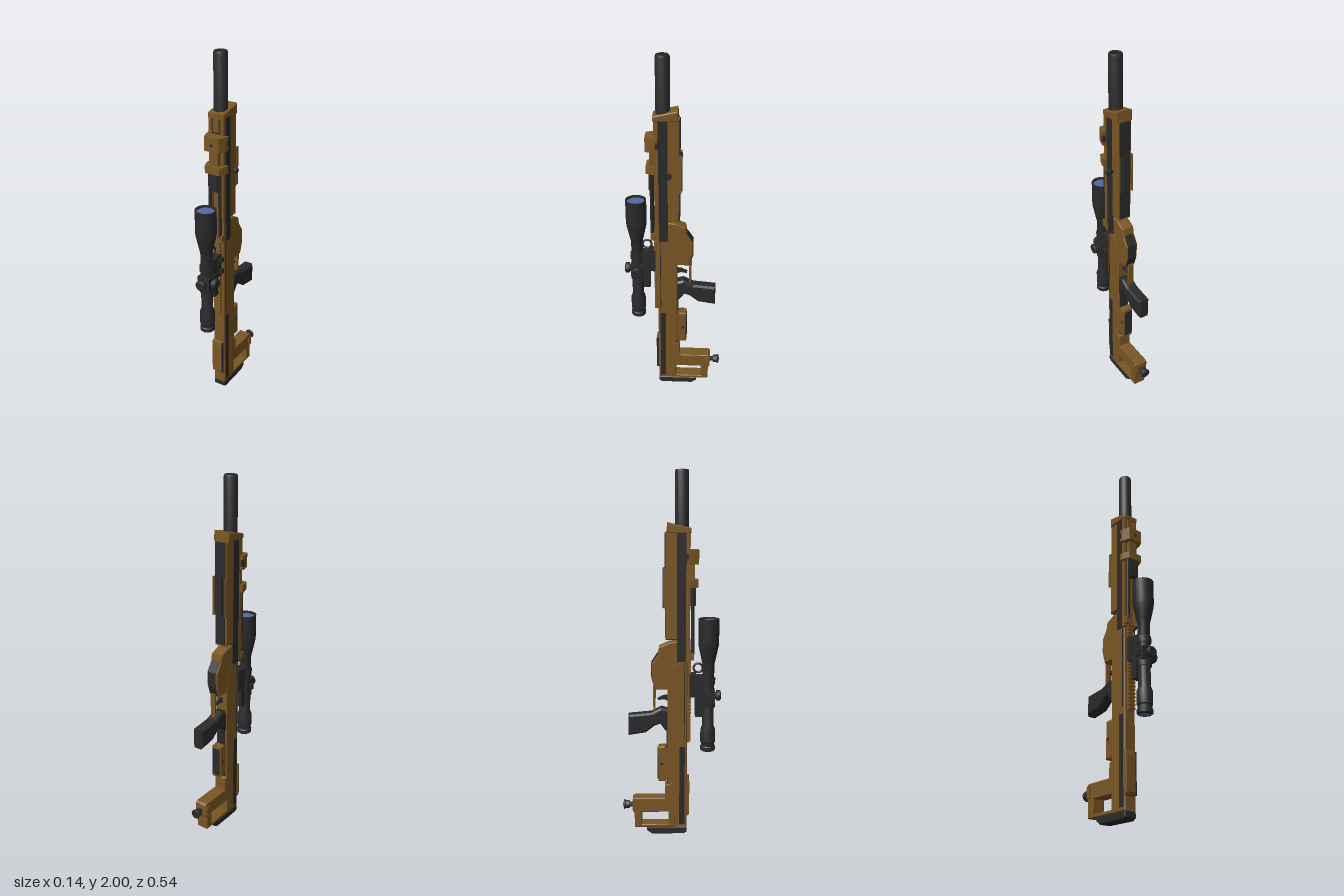
import * as THREE from 'three';
import { toCreasedNormals } from 'three/addons/utils/BufferGeometryUtils.js';

export function createModel() {
  const model = new THREE.Group();
  model.name = 'rifle';
  const root = new THREE.Group();
  root.name = 'rifleBody';
  root.position.x = -0.01;
  model.add(root);

  const mat = (name, color) => {
    const m = new THREE.MeshStandardMaterial({ color });
    m.name = name;
    return m;
  };
  const tan = mat('bronze tan', 0x7a5624);
  const dark = mat('gunmetal black', 0x2a2a2a);
  const glass = mat('lens blue', 0x5568a5);

  const add = (name, geo, material) => {
    const m = new THREE.Mesh(geo, material);
    m.name = name;
    root.add(m);
    return m;
  };
  // box given by its limits: centre x, width, then y and z ranges
  const box = (name, material, x, w, y0, y1, z0, z1) => {
    const m = add(name, new THREE.BoxGeometry(w, y1 - y0, z1 - z0), material);
    m.position.set(x, (y0 + y1) / 2, (z0 + z1) / 2);
    return m;
  };
  const shapeOf = pts => new THREE.Shape(pts.map(p => new THREE.Vector2(...p)));
  // side profile of [z, y] points, extruded across x with a small bevel
  const side = (name, material, pts, w, hole, x = 0, bevel = 0.005) => {
    const s = shapeOf(pts);
    if (hole) s.holes.push(new THREE.Path(hole.map(p => new THREE.Vector2(...p))));
    const g = new THREE.ExtrudeGeometry(s, {
      depth: w - 2 * bevel, bevelEnabled: bevel > 0, bevelSize: bevel,
      bevelThickness: bevel, bevelOffset: -bevel, bevelSegments: 1,
    });
    g.translate(0, 0, -(w - 2 * bevel) / 2).rotateY(-Math.PI / 2);
    return add(name, g, material).position.setX(x);
  };
  // plan profile of [x, z] points, extruded up from y0 to y1
  const plan = (name, material, pts, y0, y1) => {
    const g = new THREE.ExtrudeGeometry(shapeOf(pts.map(([x, z]) => [x, -z])), { depth: y1 - y0, bevelEnabled: false });
    add(name, g.rotateX(-Math.PI / 2).translate(0, y0, 0), material);
  };
  // turned part from [radius, height] points listed upward
  const turned = (name, material, pts, x, y, z, rx = 0, rz = 0, n = 16) => {
    const g = new THREE.LatheGeometry(pts.map(p => new THREE.Vector2(...p)), n);
    const m = add(name, toCreasedNormals(g, 0.6), material);
    m.position.set(x, y, z);
    m.rotation.set(rx, 0, rz);
    return m;
  };

  // suppressor with an open bore
  turned('suppressor', dark, [[0, 1.6], [0.036, 1.6], [0.036, 1.99], [0.032, 2],
    [0.02, 2], [0.018, 1.9], [0, 1.9]], 0, 0, 0.055);

  // handguard: dark core, tan back shell, front rails and slanted end cap
  box('handguardCore', dark, 0, 0.08, 1.0, 1.69, 0.03, 0.085);
  side('handguardShell', tan, [[0.035, 1.12], [0.035, 1.69], [-0.03, 1.69], [-0.03, 1.12]], 0.076);
  box('handguardBackPanel', dark, 0, 0.062, 1.13, 1.68, -0.034, -0.028);
  box('handguardRearStrip', dark, 0, 0.03, 1.29, 1.5, -0.045, -0.032);
  for (const s of [-1, 1]) {
    box('handguardRail', tan, s * 0.034, 0.018, 1.0, 1.69, 0.078, 0.1);
    box('sideRail', tan, s * 0.038, 0.008, 1.29, 1.5, -0.042, -0.025);
  }
  side('handguardCap', tan, [[0.105, 1.68], [0.105, 1.705], [0.09, 1.71], [-0.022, 1.735], [-0.025, 1.68]], 0.094);
  box('gasPlate', tan, 0, 0.034, 1.61, 1.68, 0.08, 0.102);
  turned('handguardKnob', dark, [[0, 0], [0.008, 0], [0.008, 0.02], [0.013, 0.035], [0.013, 0.055], [0, 0.055]],
    0.022, 1.395, 0.022, 0, -Math.PI / 2, 10);

  // folded bipod clamped to the front of the handguard
  const clamp = (name, y0, y1, z1) => plan(name, tan, [[-0.06, 0.08], [0.06, 0.08], [0.058, 0.1],
    [0.042, z1], [-0.042, z1], [-0.058, 0.1]].reverse(), y0, y1);
  clamp('bipodClamp', 1.52, 1.595, 0.145);
  clamp('bipodCollar', 1.4, 1.44, 0.142);
  box('bipodBridge', tan, 0, 0.05, 1.44, 1.53, 0.08, 0.125);
  box('bipodHinge', dark, 0, 0.045, 1.3, 1.4, 0.08, 0.13);
  turned('bipodBolt', dark, [[0, 0], [0.008, 0], [0.008, 0.004], [0, 0.004]], 0, 1.555, 0.144, Math.PI / 2, 0, 8);
  for (const s of [-1, 1]) {
    turned('bipodLeg', dark, [[0, 1.04], [0.009, 1.04], [0.009, 1.41], [0, 1.41]], s * 0.03, 0, 0.115, 0, 0, 8);
    box('bipodFoot', tan, s * 0.036, 0.02, 1.01, 1.05, 0.095, 0.122);
    box('bipodPivot', dark, s * 0.056, 0.014, 1.54, 1.575, 0.075, 0.09);
  }

  // receiver and the spine of the stock
  side('receiver', tan, [[0.087, 0.04], [0.087, 1.0], [0.06, 1.01], [0.035, 1.01], [-0.02, 0.95],
    [-0.022, 0.31], [-0.012, 0.28], [-0.012, 0.04]], 0.07);
  side('magazineHousing', tan, [[0.035, 0.84], [0.035, 1.11], [-0.01, 1.105], [-0.065, 1.08], [-0.072, 1.04],
    [-0.105, 0.99], [-0.105, 0.91], [-0.085, 0.845], [-0.02, 0.845]], 0.068);
  side('magazineSpine', dark, [[-0.06, 1.042], [-0.075, 1.042], [-0.108, 0.992], [-0.108, 0.908], [-0.088, 0.85],
    [-0.07, 0.85], [-0.09, 0.91], [-0.09, 0.99]], 0.05, null, 0, 0);
  for (const s of [-1, 1]) {
    box('stockInlay', dark, s * 0.035, 0.006, 0.06, 0.52, 0.045, 0.075);
    box('receiverSeam', dark, s * 0.035, 0.004, 0.56, 1.0, 0.07, 0.074);
  }
  box('receiverBackStrip', dark, 0, 0.05, 0.3, 0.72, -0.025, -0.018);
  box('chargingBlock', dark, 0.036, 0.014, 1.0, 1.1, 0.045, 0.07);

  // notched top rail
  box('railBase', tan, 0, 0.036, 0.54, 1.3, 0.085, 0.098);
  for (let i = 0; i < 24; i++) {
    const y = 0.545 + i * 0.02;
    box('railTooth', tan, 0, 0.042, y, y + 0.011, 0.095, 0.107);
  }

  // pistol grip, trigger and guard
  side('grip', dark, [[-0.015, 0.6], [-0.015, 0.73], [-0.055, 0.74], [-0.11, 0.712], [-0.235, 0.7],
    [-0.235, 0.585], [-0.14, 0.6], [-0.09, 0.64], [-0.06, 0.65], [-0.035, 0.615]], 0.064, null, 0, 0.01);
  side('triggerGuard', tan, [[-0.084, 0.86], [-0.1, 0.86], [-0.098, 0.72], [-0.086, 0.72]], 0.03, null, 0, 0);
  side('trigger', dark, [[-0.015, 0.81], [-0.045, 0.805], [-0.075, 0.79], [-0.072, 0.78], [-0.04, 0.785],
    [-0.015, 0.775]], 0.014, null, 0, 0);

  // rear block, skeleton stock, adjusting knob and butt pad
  side('rearBlock', tan, [[-0.015, 0.34], [-0.015, 0.5], [-0.035, 0.52], [-0.072, 0.515], [-0.072, 0.315], [-0.035, 0.315]], 0.06);
  box('rearBlockPanel', dark, 0, 0.046, 0.33, 0.5, -0.076, -0.07);
  for (const s of [-1, 1]) box('rearBlockPin', dark, s * 0.03, 0.004, 0.41, 0.425, -0.06, -0.045);
  side('skeletonStock', tan, [[0.02, 0.04], [0.02, 0.31], [-0.02, 0.3], [-0.036, 0.29], [-0.036, 0.215], [-0.205, 0.215],
    [-0.217, 0.205], [-0.217, 0.14], [-0.207, 0.125], [-0.205, 0.04]], 0.072,
  [[-0.016, 0.058], [-0.164, 0.058], [-0.164, 0.133], [-0.016, 0.133]], 0, 0.003);
  for (const s of [-1, 1]) box('stockBoss', tan, s * 0.036, 0.012, 0.14, 0.195, -0.21, -0.185);
  turned('adjustKnob', dark, [[0, 0], [0.013, 0], [0.013, 0.02], [0.023, 0.024], [0.023, 0.046],
    [0.028, 0.049], [0.026, 0.054], [0, 0.06]], 0, 0.165, -0.213, -Math.PI / 2, 0, 12);
  side('buttPad', dark, [[0.087, 0.012], [0.087, 0.042], [-0.137, 0.042], [-0.137, 0.02], [-0.11, 0], [0.07, 0]], 0.072);

  // raised cheek rest on the front of the stock
  box('cheekRestMount', dark, 0, 0.05, 0.12, 0.33, 0.08, 0.094);
  side('cheekRest', tan, [[0.085, 0.11], [0.085, 0.335], [0.097, 0.33], [0.101, 0.31], [0.101, 0.13], [0.097, 0.115]], 0.062, null, -0.008, 0.002);
  box('cheekRestEdge', dark, 0.026, 0.006, 0.115, 0.33, 0.08, 0.1);

  // telescopic sight
  turned('scopeTube', dark, [[0, 0.5], [0.036, 0.49], [0.041, 0.495], [0.041, 0.515], [0.037, 0.52], [0.037, 0.535],
    [0.041, 0.54], [0.041, 0.61], [0.032, 0.635], [0.032, 0.98], [0.037, 1.0], [0.054, 1.08], [0.056, 1.1],
    [0.056, 1.23], [0.048, 1.23], [0.046, 1.2], [0, 1.2]], 0, 0, 0.202, 0, 0, 20);
  turned('frontLens', glass, [[0.047, 1.219], [0, 1.222]], 0, 0, 0.202, 0, 0, 20);
  turned('rearLens', glass, [[0, 0.489], [0.031, 0.489]], 0, 0, 0.202, 0, 0, 20);
  for (const y of [0.74, 0.87]) {
    turned('scopeRing', dark, [[0.03, y], [0.038, y], [0.038, y + 0.035], [0.03, y + 0.035]], 0, 0, 0.202);
  }
  const turret = [[0, 0], [0.02, 0], [0.02, 0.043], [0.029, 0.045], [0.029, 0.064], [0.026, 0.068], [0, 0.068]];
  turned('elevationTurret', dark, turret, 0, 0.805, 0.202, Math.PI / 2, 0, 12);
  turned('windageTurret', dark, turret, 0, 0.805, 0.202, 0, -Math.PI / 2, 12);
  box('turretHousing', dark, 0, 0.074, 0.77, 0.84, 0.17, 0.237);
  box('leftScrew', dark, -0.04, 0.02, 0.79, 0.82, 0.19, 0.215);

  // sight mount and its pierced arm
  box('mountBase', dark, 0, 0.056, 0.8, 0.93, 0.1, 0.135);
  box('mountSaddle', dark, 0, 0.046, 0.8, 0.92, 0.13, 0.175);
  box('mountFoot', dark, 0, 0.05, 0.69, 0.8, 0.13, 0.168);
  const eye = add('mountEye', new THREE.TorusGeometry(0.025, 0.006, 6, 16), dark);
  eye.rotation.y = Math.PI / 2;
  eye.position.set(0, 0.96, 0.146);
  for (const y of [0.82, 0.89]) box('mountClampNut', dark, 0.034, 0.02, y, y + 0.025, 0.1, 0.125);

  return model;
}
